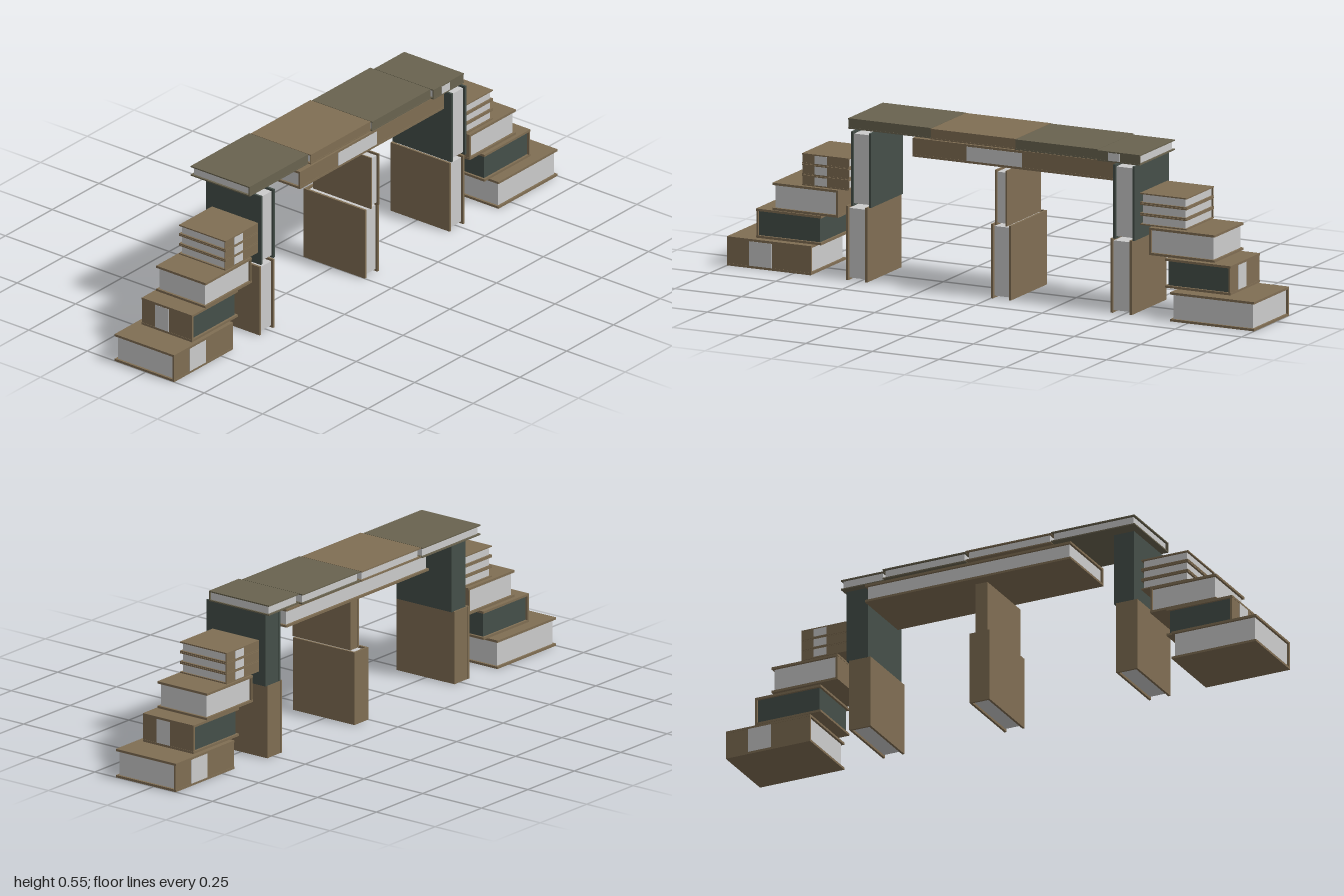
import * as THREE from 'three';

const mat = (color) => new THREE.MeshStandardMaterial({ color, flatShading: true });
const BROWN = mat(0x806e53), OLIVE = mat(0x69634f), GREEN = mat(0x454f49), PAPER = mat(0xcccccc);

function block(parent, name, material, x0, x1, y0, y1, z0, z1) {
  const mesh = new THREE.Mesh(new THREE.BoxGeometry(x1 - x0, y1 - y0, z1 - z0), material);
  mesh.position.set((x0 + x1) / 2, (y0 + y1) / 2, (z0 + z1) / 2);
  mesh.name = name;
  parent.add(mesh);
}

// Closed book filling a box [x0, x1, y0, y1, z0, z1].
// turn: yaw of the spine from +z in quarter turns; upright: stands with its boards facing +x and -x.
function book(name, [x0, x1, y0, y1, z0, z1], turn, opts = {}) {
  const { cover = BROWN, pages = PAPER, label = false, upright = false } = opts;
  const sx = x1 - x0, sy = y1 - y0, sz = z1 - z0;
  const sideways = turn % 2 !== 0;
  const length = upright ? sy : sideways ? sz : sx;
  const thick = upright ? sx : sy;
  const depth = sideways ? sx : sz;
  const L = length / 2, T = thick / 2, D = depth / 2;
  const board = Math.min(0.008, thick * 0.12), inset = Math.min(0.008, length * 0.04);

  const g = new THREE.Group();
  g.name = name;
  for (const s of [-1, 1]) {
    const a = s * T, b = s * (T - board);
    block(g, 'coverBoard', cover, -L, L, Math.min(a, b), Math.max(a, b), -D, D);
  }
  block(g, 'spine', cover, -L, L, -T + board, T - board, D - board, D - 0.001);
  block(g, 'pages', pages, -L + inset, L - inset, -T + board, T - board, -D + inset, D - board);
  if (label) {
    const c = -0.1 * length, h = 0.135 * length;
    block(g, 'spineLabel', PAPER, c - h, c + h, -T + board, T - board, D - 0.002, D + 0.0005);
  }
  g.rotation.set(0, turn * Math.PI / 2, upright ? Math.PI / 2 : 0);
  g.position.set((x0 + x1) / 2, (y0 + y1) / 2, (z0 + z1) / 2);
  return g;
}

// Stepped pile on the model's left; the other side is the same pile turned half round.
function stairs(side) {
  const g = new THREE.Group();
  g.name = side > 0 ? 'leftStairs' : 'rightStairs';
  const steps = [
    ['bottomStep', [0.685, 1, 0, 0.1, -0.095, 0.16], 2, { label: true }],
    ['secondStep', [0.65, 0.895, 0.105, 0.205, -0.087, 0.128], 1, { label: true, pages: GREEN }],
    ['thirdStep', [0.583, 0.83, 0.208, 0.302, -0.093, 0.118], 3, {}],
  ];
  for (let i = 0; i < 3; i++) {
    const y = 0.305 + i * 0.037;
    steps.push(['thinBook', [0.545, 0.72, y, y + 0.036, -0.09, 0.108], 2, { label: true }]);
  }
  for (const [name, [x0, x1, y0, y1, z0, z1], turn, opts] of steps) {
    const box = side > 0 ? [x0, x1, y0, y1, z0, z1] : [-x1, -x0, y0, y1, 0.027 - z1, 0.027 - z0];
    g.add(book(name, box, side > 0 ? turn : (turn + 2) % 4, opts));
  }
  return g;
}

export function createModel() {
  const model = new THREE.Group();
  model.name = 'bookBridge';
  model.add(stairs(1), stairs(-1));

  // Upright books as pillars, page edges to the front
  const pillars = [
    ['rightLowerPillar', [-0.55, -0.47, 0, 0.255, -0.12, 0.127], BROWN],
    ['rightUpperPillar', [-0.535, -0.46, 0.255, 0.51, -0.115, 0.12], GREEN],
    ['middleLowerPillar', [0, 0.075, 0, 0.255, -0.125, 0.137], BROWN],
    ['middleUpperPillar', [0.02, 0.065, 0.255, 0.445, -0.1, 0.147], BROWN],
    ['leftLowerPillar', [0.45, 0.53, 0, 0.255, -0.113, 0.139], BROWN],
    ['leftUpperPillar', [0.46, 0.54, 0.255, 0.51, -0.113, 0.139], GREEN],
  ];
  for (const [name, box, cover] of pillars) model.add(book(name, box, 2, { cover, upright: true }));

  // Long beam book under the deck
  model.add(book('beam', [-0.31, 0.459, 0.446, 0.51, -0.138, 0.108], 0, { label: true }));

  // Deck of flat books, spines to the front
  const deck = [
    [-0.56, -0.247, -0.16, 0.092, OLIVE],
    [-0.245, 0.074, -0.155, 0.102, BROWN],
    [0.076, 0.387, -0.15, 0.108, OLIVE],
    [0.389, 0.55, -0.135, 0.12, OLIVE],
  ];
  deck.forEach(([x0, x1, z0, z1, cover], i) =>
    model.add(book('deckBook', [x0, x1, 0.511, 0.547, z0, z1], 0, { cover, label: i === 3 })));
  return model;
}
